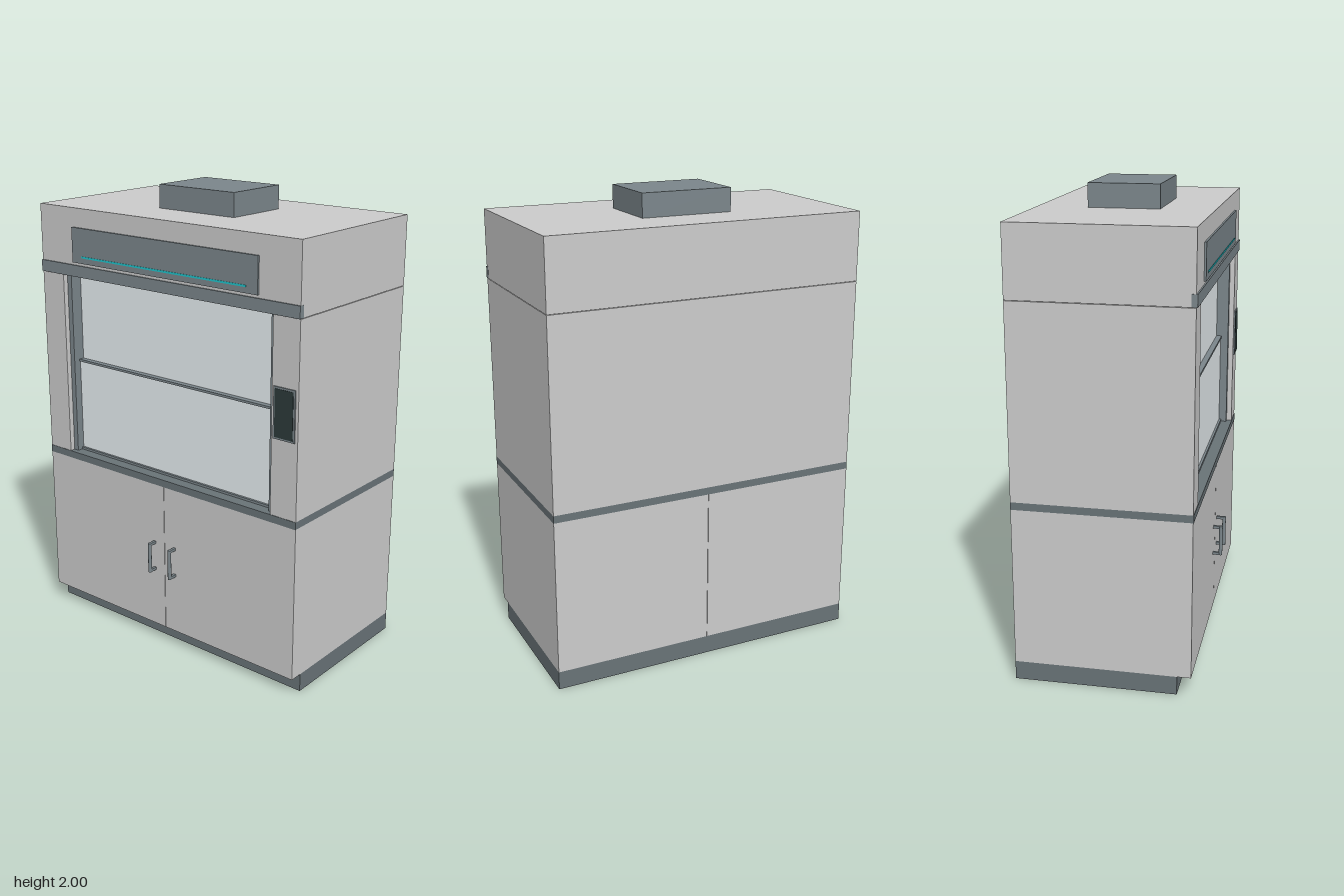
import * as THREE from 'three';

const material = (color) => new THREE.MeshStandardMaterial({ color });

export function createModel() {
  const model = new THREE.Group();
  model.name = 'fumeHood';

  const body = material(0xcccccc);
  const trim = material(0x7b868b);
  const dark = material(0x697377);
  const glass = material(0xe8eff2);
  const screen = material(0x2c3a3a);
  const light = material(0x20c4cc);

  // Box given by its lower and upper limits on each axis
  function box(name, mat, [x0, x1], [y0, y1], [z0, z1], parent = model) {
    const mesh = new THREE.Mesh(new THREE.BoxGeometry(x1 - x0, y1 - y0, z1 - z0), mat);
    mesh.position.set((x0 + x1) / 2, (y0 + y1) / 2, (z0 + z1) / 2);
    mesh.name = name;
    parent.add(mesh);
    return mesh;
  }

  const W = 0.693, BACK = -0.39, FRONT = 0.348, OPEN = 0.567;
  const depth = [BACK, FRONT];

  // Base: recessed plinth, two cupboards, worktop
  box('plinth', dark, [-W, W], [0, 0.08], [BACK, 0.29]);
  box('cupboardRight', body, [-W, -0.001], [0.08, 0.755], depth);
  box('cupboardLeft', body, [0.001, W], [0.08, 0.755], depth);
  box('worktop', dark, [-W, W], [0.755, 0.787], [BACK, FRONT + 0.002]);

  // Working chamber: side columns, back panel
  box('columnRight', body, [-W, -OPEN], [0.787, 1.603], depth);
  box('columnLeft', body, [OPEN, W], [0.787, 1.603], depth);
  box('backPanel', body, [-OPEN, OPEN], [0.787, 1.603], [BACK, BACK + 0.03]);

  // Header with front trim strip and exhaust collar
  box('header', body, [-W, W], [1.605, 1.9], depth);
  box('headerTrim', trim, [-W - 0.001, W + 0.001], [1.605, 1.655], [0.33, 0.354]);
  box('exhaustCollar', trim, [-0.2, 0.2], [1.9, 2], [-0.175, 0.125]);
  box('fasciaPanel', trim, [-0.498, 0.498], [1.667, 1.818], [0.34, 0.356]);
  box('lightStrip', light, [-0.442, 0.442], [1.691, 1.699], [0.35, 0.358]);

  // Sash guides and the two sliding glass sashes
  for (const s of [-1, 1]) {
    const xs = [s * OPEN, s * 0.543].sort((a, b) => a - b);
    box(s < 0 ? 'sashGuideRight' : 'sashGuideLeft', trim, xs, [0.787, 1.605], [0.25, 0.325]);
  }
  box('upperSash', glass, [-0.543, 0.543], [1.2, 1.605], [0.255, 0.27]);
  box('lowerSash', glass, [-0.543, 0.543], [0.795, 1.205], [0.275, 0.29]);
  box('sashRail', trim, [-0.543, 0.543], [1.204, 1.214], [0.255, 0.295]);
  box('sashSill', trim, [-0.543, 0.543], [0.787, 0.797], [0.255, 0.3]);

  // Control unit on the left column
  box('controlFrame', trim, [0.577, 0.68], [1.113, 1.326], [0.34, 0.353]);
  box('controlScreen', screen, [0.585, 0.672], [1.121, 1.318], [0.345, 0.355]);

  // Door handles: upright bar on two standoffs
  for (const x of [-0.057, 0.057]) {
    const handle = new THREE.Group();
    handle.name = x < 0 ? 'handleRight' : 'handleLeft';
    const bar = new THREE.Mesh(new THREE.CylinderGeometry(0.008, 0.008, 0.138, 16), trim);
    bar.position.set(x, 0.417, 0.382);
    bar.name = 'handleBar';
    handle.add(bar);
    for (const y of [0.354, 0.48]) {
      box('handleStandoff', trim, [x - 0.006, x + 0.006], [y - 0.006, y + 0.006], [0.345, 0.382], handle);
    }
    model.add(handle);
  }
  return model;
}
